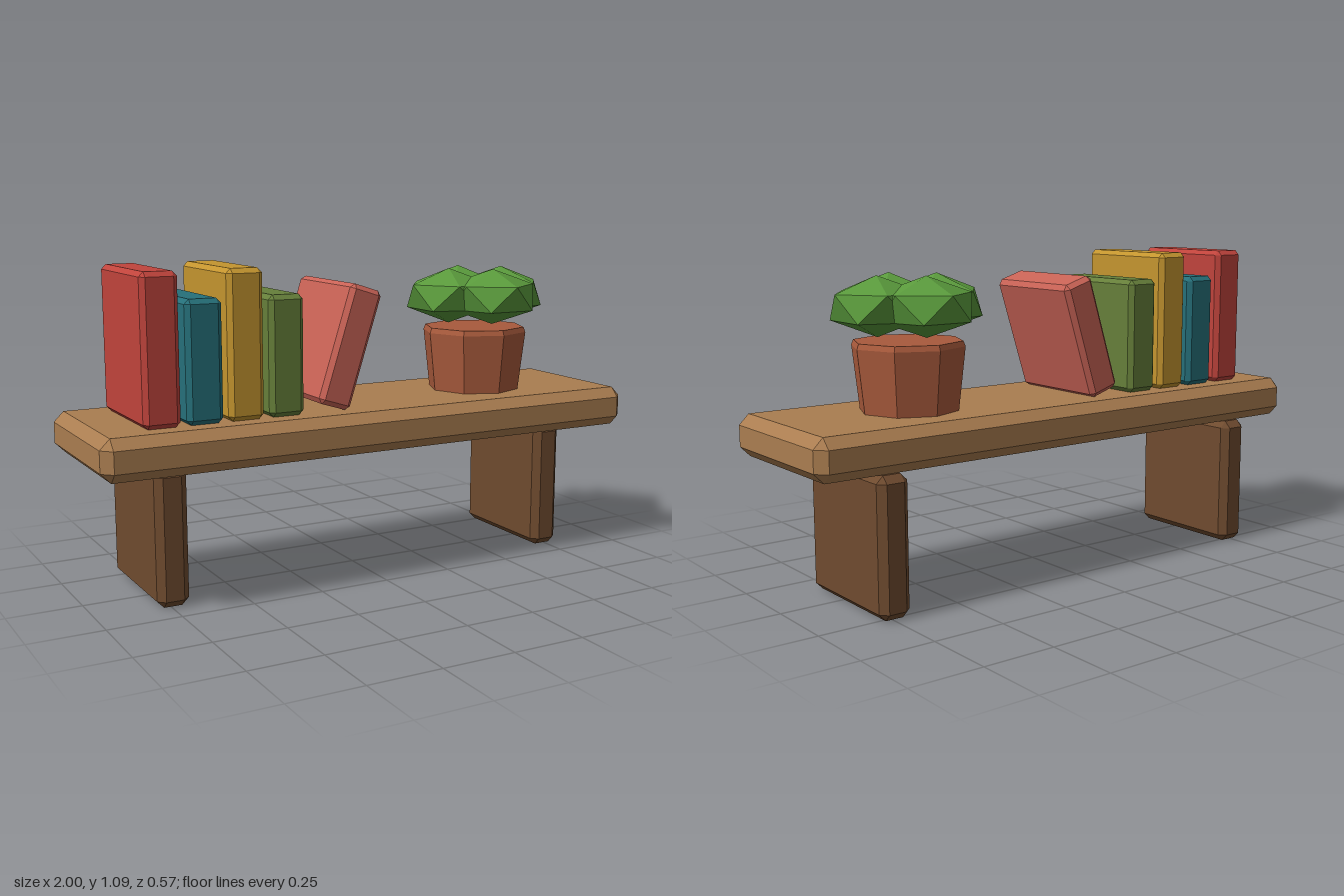
import * as THREE from 'three';
import { ConvexGeometry } from 'three/addons/geometries/ConvexGeometry.js';

const material = (color) => new THREE.MeshStandardMaterial({ color, flatShading: true });

// Box with every edge and corner cut off by c
function chamferBox(w, h, d, c) {
  const points = [];
  const half = [w / 2, h / 2, d / 2];
  for (const sx of [-1, 1]) for (const sy of [-1, 1]) for (const sz of [-1, 1]) {
    const sign = [sx, sy, sz];
    for (let axis = 0; axis < 3; axis++) {
      // full extent along one axis, inset along the other two
      points.push(new THREE.Vector3(...half.map((v, i) => sign[i] * (i === axis ? v : v - c))));
    }
  }
  return new ConvexGeometry(points);
}

export function createModel() {
  const model = new THREE.Group();
  model.name = 'bookShelf';

  const add = (parent, name, geometry, mat, x, y, z) => {
    const mesh = new THREE.Mesh(geometry, mat);
    mesh.name = name;
    mesh.position.set(x, y, z);
    parent.add(mesh);
    return mesh;
  };

  // Shelf board
  add(model, 'shelfBoard', chamferBox(2, 0.14, 0.57, 0.034), material(0xaa7d50), 0, 0.53, 0);

  // Upright supports, flush with the back
  const legMat = material(0x6f4b2f);
  for (const [side, name] of [[1, 'leftSupport'], [-1, 'rightSupport']]) {
    add(model, name, chamferBox(0.11, 0.46, 0.455, 0.024), legMat, side * 0.742, 0.23, -0.0575);
  }

  // Standing books
  const books = new THREE.Group();
  books.name = 'books';
  model.add(books);
  const standing = [
    ['redBook', -0.776, 0.49, 0xc0443c],
    ['tealBook', -0.632, 0.4, 0x26707a],
    ['yellowBook', -0.49, 0.49, 0xc4952f],
    ['greenBook', -0.346, 0.4, 0x667f3a],
  ];
  for (const [name, x, h, color] of standing) {
    add(books, name, chamferBox(0.124, h, 0.4, 0.016), material(color), x, 0.6 + h / 2, 0);
  }

  // Leaning book
  add(books, 'leaningBook', chamferBox(0.122, 0.415, 0.4, 0.016), material(0xc96356), -0.109, 0.812, 0)
    .rotation.z = -0.312;

  // Potted plant
  const plant = new THREE.Group();
  plant.name = 'pottedPlant';
  plant.position.set(0.513, 0.6, 0);
  model.add(plant);

  // Eight-sided pot with a bevelled rim
  const profile = [[0, 0], [0.167, 0], [0.191, 0.212], [0.184, 0.23], [0, 0.23]]
    .map(([r, y]) => new THREE.Vector2(r, y));
  add(plant, 'pot', new THREE.LatheGeometry(profile, 8), material(0xa85a3c), 0, 0, 0);

  // Four squashed leaf clumps, each with a tip pointing outwards
  const leafMat = material(0x5a9a3c);
  const clump = new THREE.IcosahedronGeometry(0.169, 0);
  clump.rotateZ(-Math.atan(2 / (1 + Math.sqrt(5))));
  clump.scale(1, 0.585, 1);
  for (let i = 0; i < 4; i++) {
    const a = (i * Math.PI) / 2;
    add(plant, 'leafClump' + (i + 1), clump, leafMat, 0.114 * Math.cos(a), 0.346, -0.114 * Math.sin(a))
      .rotation.y = a;
  }

  return model;
}
